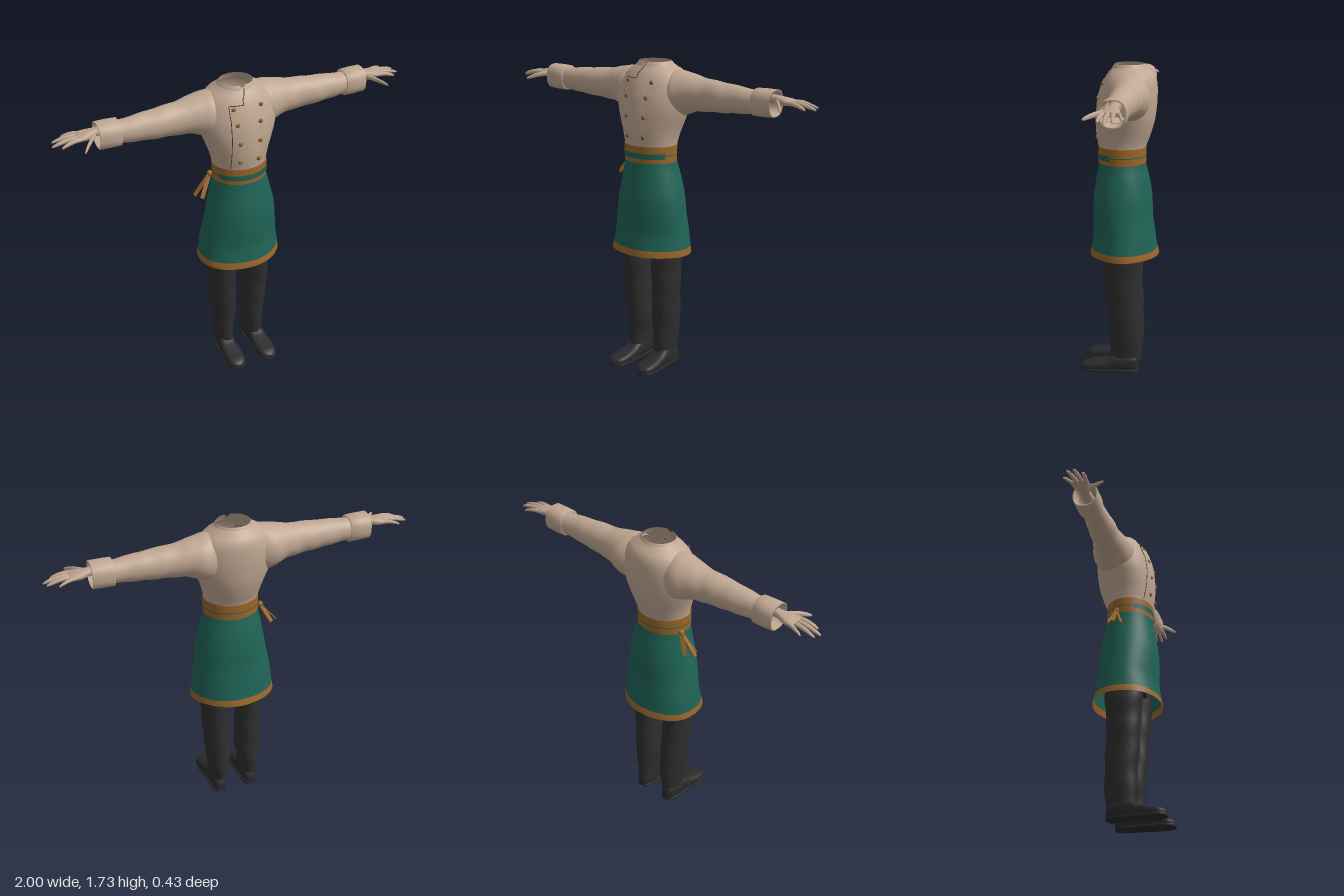
import * as THREE from 'three';

const paint = (name, color, side = THREE.FrontSide) => {
  const m = new THREE.MeshStandardMaterial({ color, side });
  m.name = name;
  return m;
};
const cloth = paint('cream cloth', 0xc0a792, THREE.DoubleSide);
const skin = paint('skin', 0xbda38e);
const green = paint('green apron', 0x1f6355, THREE.DoubleSide);
const ochre = paint('ochre trim', 0x9a6529, THREE.DoubleSide);
const brass = paint('button brown', 0x8f5b22);
const black = paint('trouser black', 0x2e2e2f);
const leather = paint('shoe black', 0x2a2a2b);
const seamDark = paint('seam', 0x4c3e34);

// Smooth value of a profile row [t, aLow, aHigh, bLow, bHigh] at position t
function rowAt(rows, t) {
  let i = 0;
  while (i < rows.length - 2 && t > rows[i + 1][0]) i++;
  const p1 = rows[i], p2 = rows[i + 1];
  const p0 = rows[i - 1] || p1, p3 = rows[i + 2] || p2;
  const s = (t - p1[0]) / (p2[0] - p1[0]);
  return p1.map((v, k) => k === 0 ? t : v + 0.5 * s * (p2[k] - p0[k] + s * (2 * p0[k] - 5 * v + 4 * p2[k] - p3[k]
    + s * (3 * (v - p2[k]) + p3[k] - p0[k]))));
}
const resample = (rows, n, from = rows[0][0], to = rows[rows.length - 1][0]) =>
  Array.from({ length: n + 1 }, (_, i) => rowAt(rows, from + (to - from) * i / n));

// Which way a loft travels
const upward = (t, a, b) => [b, t, a];
const sideways = (t, a, b) => [t, a, b];
const forward = (t, a, b) => [a, b, t];

// Skin a series of rounded cross-sections; arc leaves part of each ring out
function loft(rows, place, { segs = 32, power = 2, wobble, arc, capStart, capEnd } = {}) {
  const pos = [], idx = [];
  const [from, to] = arc || [0, Math.PI * 2];
  const cols = arc ? segs + 1 : segs;
  const round = (v) => Math.sign(v) * Math.pow(Math.abs(v), 2 / power);
  const ring = ([t, a0, a1, b0, b1]) => {
    for (let j = 0; j < cols; j++) {
      const g = from + (to - from) * j / segs;
      const k = wobble ? 1 + wobble(t, g) : 1;
      pos.push(...place(t, (a0 + a1) / 2 + (a1 - a0) / 2 * round(Math.cos(g)) * k,
        (b0 + b1) / 2 + (b1 - b0) / 2 * round(Math.sin(g)) * k));
    }
  };
  rows.forEach(ring);
  for (let i = 0; i < rows.length - 1; i++) for (let j = 0; j < segs; j++) {
    const a = i * cols + j, b = i * cols + (j + 1) % cols;
    idx.push(a, b, a + cols, b, b + cols, a + cols);
  }
  const cap = (r, flip) => {
    const start = pos.length / 3;
    ring(r);
    pos.push(...place(r[0], (r[1] + r[2]) / 2, (r[3] + r[4]) / 2));
    for (let j = 0; j < segs; j++) {
      const a = start + j, b = start + (j + 1) % cols;
      idx.push(...(flip ? [b, a, start + cols] : [a, b, start + cols]));
    }
  };
  if (capStart) cap(rows[0], true);
  if (capEnd) cap(rows[rows.length - 1], false);
  const geo = new THREE.BufferGeometry();
  geo.setAttribute('position', new THREE.Float32BufferAttribute(pos, 3));
  geo.setIndex(idx);
  geo.computeVertexNormals();
  return geo;
}

function add(parent, name, geo, mat) {
  const mesh = new THREE.Mesh(geo, mat);
  mesh.name = name;
  parent.add(mesh);
  return mesh;
}

// Profiles: [height, back z, front z, right x, left x]
const torsoRows = [
  [1.19, -.13, .112, -.147, .147], [1.28, -.14, .118, -.15, .15], [1.35, -.165, .129, -.165, .165],
  [1.42, -.185, .132, -.19, .19], [1.48, -.194, .129, -.21, .21], [1.55, -.199, .12, -.215, .215],
  [1.62, -.198, .1, -.2, .2], [1.66, -.19, .082, -.178, .178], [1.69, -.172, .062, -.145, .145],
  [1.705, -.15, .047, -.113, .113], [1.718, -.137, .037, -.1, .1]];
const skirtRows = [
  [.675, -.215, .17, -.24, .235], [.72, -.205, .16, -.232, .23], [.8, -.195, .149, -.222, .22],
  [.9, -.18, .152, -.205, .21], [1, -.175, .15, -.187, .198], [1.1, -.16, .135, -.167, .175],
  [1.2, -.136, .12, -.149, .15]];
const legRows = [
  [.085, -.115, .048, .042, .142], [.15, -.125, .05, .037, .148], [.22, -.125, .052, .025, .158],
  [.3, -.122, .058, .02, .165], [.4, -.118, .066, .024, .172], [.55, -.114, .076, .027, .178],
  [.68, -.122, .085, .025, .185], [.9, -.125, .085, .01, .16]];
// Sleeve: [x, bottom, top, back z, front z]
const sleeveRows = [
  [.11, 1.44, 1.69, -.16, .045], [.16, 1.437, 1.69, -.175, .058], [.21, 1.455, 1.682, -.175, .047],
  [.28, 1.478, 1.667, -.153, .028], [.36, 1.486, 1.657, -.138, .02], [.45, 1.492, 1.65, -.13, .018],
  [.55, 1.5, 1.64, -.12, .01], [.67, 1.51, 1.63, -.112, 0]];
const shoeRows = [
  [-.112, .075, .115, .01, .05], [-.1, .058, .13, 0, .088], [-.05, .049, .14, 0, .102], [.02, .047, .145, 0, .1],
  [.06, .045, .15, 0, .078], [.12, .042, .155, 0, .062], [.18, .05, .15, 0, .05],
  [.205, .065, .135, 0, .04], [.215, .085, .115, .008, .028]];

// Front surface of the jacket at a point
function chestZ(x, y) {
  const [, back, front, , half] = rowAt(torsoRows, y);
  return (back + front) / 2 + (front - back) / 2 * Math.sqrt(Math.max(0, 1 - (x / half) ** 2));
}
const onChest = (x, y, lift) => new THREE.Vector3(x, y, chestZ(x, y) + lift);

function addJacket(g) {
  add(g, 'jacketBody', loft(resample(torsoRows, 32), upward, { segs: 48 }), cloth);
  add(g, 'collar', loft([[1.695, -.148, .052, -.112, .112], [1.715, -.14, .043, -.103, .103],
    [1.73, -.13, .034, -.092, .092]], upward, { arc: [.12, Math.PI * 2 - .12] }), cloth);

  // Overlapping front flap, sinking into the jacket on its far side
  const flap = new THREE.PlaneGeometry(.195, .355, 14, 18).translate(.0025, 1.4675, 0);
  const p = flap.attributes.position;
  for (let i = 0; i < p.count; i++) {
    const x = p.getX(i), y = p.getY(i);
    p.setZ(i, chestZ(x, y) + .007 - .012 * Math.max(0, x) / .1);
  }
  flap.computeVertexNormals();
  add(g, 'frontFlap', flap, cloth);

  // Flap edge and collar opening
  const line = (name, pts) => add(g, name, new THREE.TubeGeometry(
    new THREE.CatmullRomCurve3(pts, false, 'catmullrom', .1), 32, .0022, 5), seamDark);
  line('flapEdge', [1.29, 1.38, 1.47, 1.56, 1.645].map((y) => onChest(-.096, y, .004)));
  line('flapTop', [-.096, -.06, -.02].map((x) => onChest(x, 1.646, .004)));
  line('collarOpening', [[-.02, 1.646], [-.018, 1.67], [-.006, 1.69], [.004, 1.715]]
    .map(([x, y]) => onChest(x, y, .004)));

  // Two columns of buttons
  for (const [y, right, left] of [[1.335, -.055, .052], [1.445, -.056, .058], [1.55, -.066, .065], [1.63, -.076, .08]]) {
    for (const x of [right, left]) {
      const b = add(g, 'button', new THREE.SphereGeometry(.012, 14, 10), brass);
      b.position.copy(onChest(x, y, .006));
      b.scale.z = .6;
    }
  }
}

function addApron(g) {
  const folds = (t, a) => .018 * (1.25 - t) * (Math.sin(a * 5 + t * 9) + Math.sin(a * 3 - t * 14));
  const part = (name, from, to, n, mat) => add(g, name,
    loft(resample(skirtRows, n, from, to), upward, { segs: 56, wobble: folds }), mat);
  part('apronSkirt', .712, 1.2, 24, green);
  part('apronHem', .675, .712, 3, ochre);

  // Waistband with the green wedge showing through
  const band = (from, to, grow) => [from, to].map((y) => [y, -.14 - grow, .123 + grow, -.152 - grow, .152 + grow]);
  add(g, 'waistband', loft(band(1.192, 1.283, 0), upward, { segs: 48 }), ochre);
  add(g, 'waistGap', loft(band(1.216, 1.246, .003), upward, { arc: [-1.15, 1.15] }), green);
  add(g, 'waistLine', loft(band(1.23, 1.235, .002), upward, { segs: 48 }), green);

  // Knot and hanging ties on the right hip
  const knot = new THREE.Vector3(-.155, 1.205, -.05);
  const k = add(g, 'tieKnot', new THREE.SphereGeometry(.016, 12, 8), ochre);
  k.position.copy(knot);
  for (const end of [[-.25, 1.09, -.045], [-.222, 1.085, -.005], [-.21, 1.1, -.085]]) {
    const tip = new THREE.Vector3(...end);
    const dir = tip.clone().sub(knot);
    const tie = add(g, 'apronTie', new THREE.BoxGeometry(.008, dir.length(), .022), ochre);
    tie.position.copy(knot).add(tip).multiplyScalar(.5);
    tie.quaternion.setFromUnitVectors(new THREE.Vector3(0, 1, 0), dir.normalize());
  }
}

function buildArm() {
  const arm = new THREE.Group();
  const creases = (t, a) => Math.min(1, Math.max(0, (t - .15) * 8)) * .018 * Math.sin(t * 48 + 2 * Math.sin(a + t * 5));
  add(arm, 'sleeve', loft(resample(sleeveRows, 40), sideways, { wobble: creases }), cloth);
  add(arm, 'cuff', loft([[.65, 1.515, 1.628, -.11, 0], [.651, 1.501, 1.643, -.124, .011], [.7, 1.501, 1.645, -.126, .012],
    [.764, 1.504, 1.645, -.125, .012], [.766, 1.512, 1.637, -.117, .004], [.7, 1.518, 1.63, -.11, 0]],
  sideways, { power: 2.4 }), cloth);

  // Hand with four fingers and a thumb
  add(arm, 'palm', loft(resample([[.68, 1.57, 1.625, -.09, -.03], [.77, 1.577, 1.617, -.086, -.034],
    [.81, 1.57, 1.613, -.1, -.02], [.85, 1.573, 1.607, -.106, -.01], [.872, 1.58, 1.6, -.1, -.018]], 14),
  sideways, { segs: 20, power: 2.4, capEnd: true }), skin);
  const finger = (name, b, e, r) => {
    const rows = [[0, 1], [.3, .95], [.55, .9], [.8, .75], [.95, .5], [1, .15]]
      .map(([t, s]) => [t, -r * s, r * s, -r * s, r * s]);
    const place = (t, y, z) => [b[0] + (e[0] - b[0]) * t,
      b[1] + (e[1] - b[1]) * t + .03 * t * (1 - t) + y, b[2] + (e[2] - b[2]) * t + z];
    add(arm, name, loft(rows, place, { segs: 12, capEnd: true }), skin);
  };
  finger('indexFinger', [.85, 1.59, -.024], [.96, 1.568, -.01], .0125);
  finger('middleFinger', [.85, 1.59, -.048], [1, 1.567, -.047], .0125);
  finger('ringFinger', [.85, 1.59, -.072], [.99, 1.572, -.085], .012);
  finger('littleFinger', [.84, 1.589, -.094], [.935, 1.575, -.121], .0105);
  finger('thumb', [.775, 1.588, -.045], [.868, 1.562, .072], .015);
  return arm;
}

function buildLeg() {
  const leg = new THREE.Group();
  const creases = (t, a) => .02 * Math.sin(t * 38 + 2 * Math.sin(a)) + .012 * Math.sin(t * 21 - a * 2);
  add(leg, 'trouserLeg', loft(resample(legRows, 44), upward, { wobble: creases, capStart: true }), black);
  add(leg, 'shoe', loft(resample(shoeRows, 30), forward, { segs: 28, power: 2.7, capStart: true, capEnd: true }), leather);
  const soleRows = shoeRows.map(([t, a, b]) => [t * 1.01, a - .002, b + .002, 0, .016]);
  add(leg, 'sole', loft(resample(soleRows, 30), forward, { segs: 24, power: 8, capStart: true, capEnd: true }), leather);
  return leg;
}

export function createModel() {
  const model = new THREE.Group();
  model.name = 'uniform';
  addJacket(model);
  addApron(model);
  add(model, 'trouserHips', loft([[.74, -.12, .08, -.15, .15], [.9, -.135, .1, -.155, .155], [1.05, -.14, .105, -.145, .145],
    [1.18, -.122, .1, -.135, .135]], upward, { capStart: true, capEnd: true }), black);

  // Limbs, mirrored
  for (const [build, name] of [[buildArm, 'Arm'], [buildLeg, 'Leg']]) {
    for (const side of [1, -1]) {
      const limb = build();
      limb.name = (side > 0 ? 'left' : 'right') + name;
      limb.scale.x = side;
      model.add(limb);
    }
  }
  return model;
}
